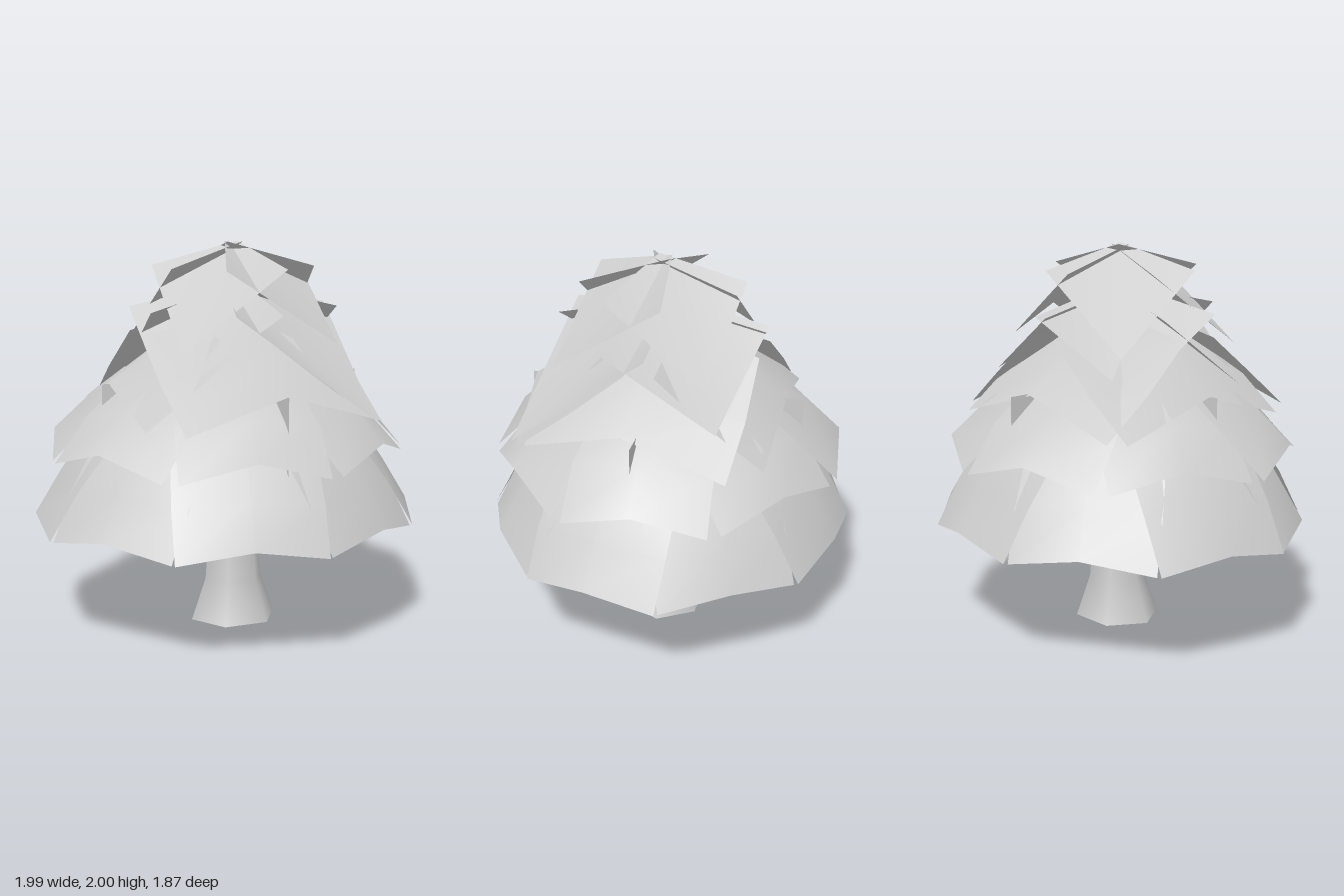
import * as THREE from 'three';

const foliageGrey = new THREE.MeshStandardMaterial({ color: 0xcccccc, side: THREE.DoubleSide });
foliageGrey.name = 'pale grey';

function add(parent, name, geometry, degrees = 0) {
  const mesh = new THREE.Mesh(geometry, foliageGrey);
  mesh.name = name;
  mesh.rotation.y = THREE.MathUtils.degToRad(degrees);
  parent.add(mesh);
  return mesh;
}

function addGroup(parent, name) {
  const group = new THREE.Group();
  group.name = name;
  parent.add(group);
  return group;
}

function surface(points, index) {
  const g = new THREE.BufferGeometry();
  g.setAttribute('position', new THREE.Float32BufferAttribute(points.flat(), 3));
  g.setIndex(index);
  g.computeVertexNormals();
  return g;
}

// Bent panel facing +z: rows from hem to top, the side edges hang lower than the middle
function panel(rows, shift) {
  const pts = [], index = [];
  for (const { r, y, half, back, drop } of rows) {
    const z = r + shift;
    pts.push([-half, y - drop, z - back], [0, y, z], [half, y - drop, z - back]);
  }
  for (let j = 0; j < rows.length - 1; j++) {
    for (let i = 0; i < 2; i++) {
      const a = j * 3 + i;
      index.push(a, a + 1, a + 4, a, a + 4, a + 3);
    }
  }
  return surface(pts, index);
}

// Ring of evenly spaced, overlapping panels
function skirt(parent, name, count, startDeg, rows) {
  const ring = addGroup(parent, name);
  for (let i = 0; i < count; i++) {
    add(ring, name + 'Panel', panel(rows, i % 2 ? 0 : 0.012), startDeg + i * 360 / count);
  }
  return ring;
}

// Four kite-shaped cards near the diagonals that cross one another along the axes;
// each tip is given as turn, distance outwards and height
function crown(parent, name, { top, inner, wing, side, wingY }, tips) {
  const ring = addGroup(parent, name);
  for (const [degrees, tip, tipY] of tips) {
    const g = surface(
      [[0, top, -inner], [-side, wingY, wing], [0, tipY, tip], [side, wingY, wing]],
      [0, 1, 2, 0, 2, 3]);
    add(ring, name + 'Card', g, degrees);
  }
  ring.position.set(0.035, 0, 0.03);
}

export function createModel() {
  const tree = new THREE.Group();
  tree.name = 'tree';

  // Flared six-sided trunk, slightly flattened
  const profile = [[0.235, 0], [0.157, 0.22], [0.13, 0.57], [0.1, 1.1], [0.05, 1.7]]
    .map(p => new THREE.Vector2(...p));
  const trunk = add(tree, 'trunk', new THREE.LatheGeometry(profile, 6, Math.PI / 6));
  trunk.position.set(0.043, 0, 0.013);
  trunk.scale.z = 0.92;

  // Crossed upright planes inside the foliage
  add(tree, 'innerPlaneAcross', new THREE.PlaneGeometry(1.42, 0.77)).position.set(0.04, 0.915, 0.015);
  add(tree, 'innerPlaneAlong', new THREE.PlaneGeometry(1.43, 0.77), 90).position.set(0.04, 0.915, 0.015);

  // Foliage skirts, from the ground up
  const low = skirt(tree, 'lowerSkirt', 8, -12, [
    { r: 0.985, y: 0.615, half: 0.375, back: 0.06, drop: 0.065 },
    { r: 0.855, y: 0.83, half: 0.375, back: 0.07, drop: 0.04 },
    { r: 0.71, y: 1.04, half: 0.36, back: 0.09, drop: 0.03 },
    { r: 0.5, y: 1.24, half: 0.28, back: 0.09, drop: 0.02 },
  ]);
  low.scale.z = 0.94;
  const middle = skirt(tree, 'middleSkirt', 7, -11, [
    { r: 0.9, y: 1.025, half: 0.37, back: 0.05, drop: 0.1 },
    { r: 0.715, y: 1.2, half: 0.36, back: 0.08, drop: 0.06 },
    { r: 0.48, y: 1.36, half: 0.28, back: 0.08, drop: 0.03 },
  ]);
  middle.scale.z = 0.97;

  // Four wide, uneven panels crossing under the crown: turn and distance outwards
  const upper = addGroup(tree, 'upperSkirt');
  const upperRows = [
    { r: 0.65, y: 1.3, half: 0.53, back: 0.02, drop: 0.16 },
    { r: 0.38, y: 1.48, half: 0.53, back: 0.02, drop: 0.14 },
    { r: 0.1, y: 1.66, half: 0.5, back: 0.02, drop: 0.1 },
  ];
  for (const [degrees, shift] of [[4, 0.06], [82, 0], [180, -0.04], [270, -0.02]]) {
    add(upper, 'upperSkirtPanel', panel(upperRows, shift), degrees);
  }

  // Crossing cards at the top
  crown(tree, 'lowerCrown', { top: 1.8, inner: 0.06, wing: 0.29, side: 0.45, wingY: 1.67 },
    [[37, 0.82, 1.15], [126, 0.66, 1.33], [232, 0.6, 1.32], [308, 0.64, 1.27]]);
  crown(tree, 'topCrown', { top: 2.0, inner: 0.05, wing: 0.18, side: 0.375, wingY: 1.88 },
    [[38, 0.6, 1.51], [124, 0.57, 1.52], [227, 0.58, 1.5], [314, 0.59, 1.49]]);

  return tree;
}
